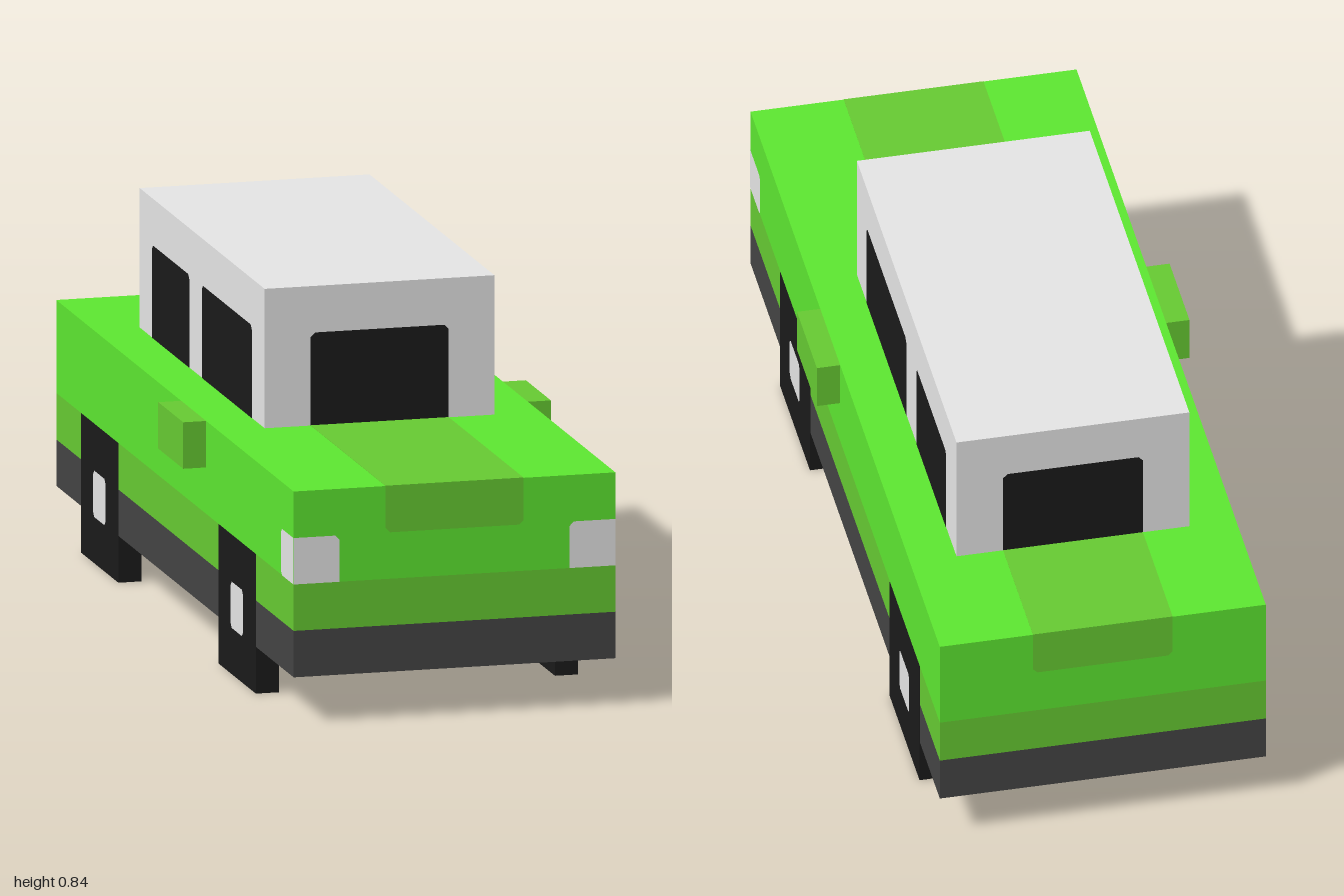
import * as THREE from 'three';

const U = 2 / 19; // one block
const GAP = 0.0008; // lift of painted plates

function material(name, color) {
  const m = new THREE.MeshStandardMaterial({ color });
  m.name = name;
  return m;
}

export function createModel() {
  const car = new THREE.Group();
  car.name = 'car';
  const green = material('bright green', 0x5ee931);
  const olive = material('muted green', 0x66ca32);
  const silver = material('light grey', 0xe5e5e5);
  const charcoal = material('dark grey', 0x444444);
  const black = material('black', 0x1a1a1a);

  // Box given by its lower and upper limits
  function box(name, mat, [x0, y0, z0], [x1, y1, z1]) {
    const mesh = new THREE.Mesh(new THREE.BoxGeometry(x1 - x0, y1 - y0, z1 - z0), mat);
    mesh.position.set((x0 + x1) / 2, (y0 + y1) / 2, (z0 + z1) / 2);
    mesh.name = name;
    car.add(mesh);
  }

  // Thin painted plate; cuts flag the clipped corners: bottom left, bottom right, top right, top left
  function plate(name, mat, w, h, cuts, pos, turn) {
    const [bl, br, tr, tl] = cuts.map((c) => c * 0.01);
    const x = w / 2, y = h / 2;
    const shape = new THREE.Shape([
      [-x, -y + bl], [-x + bl, -y], [x - br, -y], [x, -y + br],
      [x, y - tr], [x - tr, y], [-x + tl, y], [-x, y - tl],
    ].map((p) => new THREE.Vector2(...p)));
    const mesh = new THREE.Mesh(new THREE.ShapeGeometry(shape), mat);
    mesh.position.set(...pos);
    mesh.rotation.y = turn;
    mesh.name = name;
    car.add(mesh);
  }

  const half = 3.5 * U;

  // Body in stacked colour bands
  box('underbody', charcoal, [-half, U, -1], [half, 2 * U, 1]);
  box('sill', olive, [-half, 2 * U, -1], [half, 3 * U, 1]);
  box('upperBody', green, [-half, 3 * U, -1], [half, 5 * U, 1]);
  box('cabin', silver, [-2.5 * U, 5 * U, -6.5 * U], [2.5 * U, 8 * U, 3.5 * U]);

  // Centre stripe over bonnet and boot
  box('bonnetStripe', olive, [-1.5 * U, 5 * U - GAP, 3.5 * U], [1.5 * U, 5 * U + GAP, 1]);
  box('bootStripe', olive, [-1.5 * U, 5 * U - GAP, -1], [1.5 * U, 5 * U + GAP, -6.5 * U]);

  // Stripe ends and windscreens on front and back
  for (const [end, zBody, zCabin, turn] of [
    ['front', 1 + GAP, 3.5 * U + GAP, 0],
    ['rear', -1 - GAP, -6.5 * U - GAP, Math.PI],
  ]) {
    plate(end + 'Stripe', olive, 3 * U, U, [1, 1, 0, 0], [0, 4.5 * U, zBody], turn);
    plate(end + 'Windscreen', black, 3 * U, 2 * U, [0, 0, 1, 1], [0, 6 * U, zCabin], turn);
  }

  for (const s of [1, -1]) {
    const side = s > 0 ? 'left' : 'right';
    const turn = (s * Math.PI) / 2;

    // Side windows
    const xWin = s * (2.5 * U + GAP);
    plate(side + 'FrontWindow', black, 4 * U, 2 * U, [0, 0, 1, 1], [xWin, 6 * U, 0.5 * U], turn);
    plate(side + 'RearWindow', black, 3 * U, 2 * U, [0, 0, 1, 1], [xWin, 6 * U, -4 * U], turn);

    // Headlight wrapping the front corner
    plate(side + 'Headlight', silver, U, U, s > 0 ? [0, 0, 0, 1] : [0, 0, 1, 0],
      [s * 3 * U, 3.5 * U, 1 + GAP], 0);
    plate(side + 'HeadlightSide', silver, U, U, s > 0 ? [0, 1, 1, 0] : [1, 0, 0, 1],
      [s * (half + GAP), 3.5 * U, 9 * U], turn);

    // Wing mirror
    const mx = [s * half, s * 4 * U].sort((a, b) => a - b);
    box(side + 'Mirror', olive, [mx[0], 4 * U, 0.5 * U], [mx[1], 5 * U, 2.5 * U]);

    // Square wheels with hubs
    for (const [end, z] of [['Front', 5 * U], ['Rear', -6 * U]]) {
      const wx = [s * 3 * U, s * (half + GAP)].sort((a, b) => a - b);
      box(side + end + 'Wheel', black, [wx[0], 0, z - 1.5 * U], [wx[1], 3 * U, z + 1.5 * U]);
      plate(side + end + 'Hub', silver, U, U, [1, 1, 1, 1], [s * (half + 2 * GAP), 1.5 * U, z], turn);
    }
  }
  return car;
}
